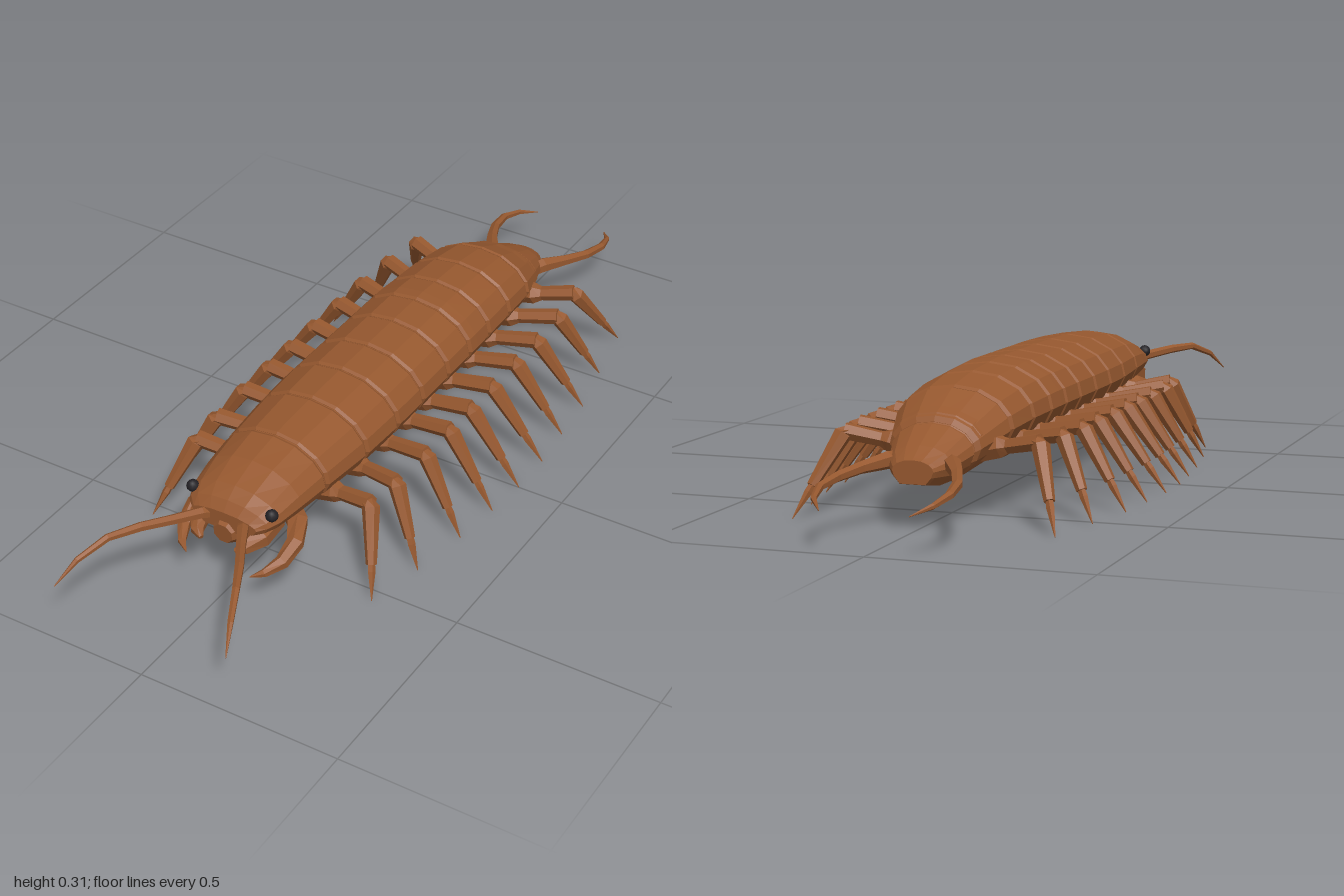
import * as THREE from 'three';

const shell = new THREE.MeshStandardMaterial({ color: 0x96582f });
shell.name = 'brown shell';
const eyeBlack = new THREE.MeshStandardMaterial({ color: 0x242226 });
eyeBlack.name = 'eye black';

// Faceted skin over rings of points (counter-clockwise seen from the far end), capped at both ends
function loft(rings) {
  const pos = [];
  const tri = (...pts) => pts.forEach(p => pos.push(p.x, p.y, p.z));
  const n = rings[0].length;
  const centre = r => r.reduce((s, p) => s.add(p), new THREE.Vector3()).divideScalar(n);
  const first = rings[0], last = rings[rings.length - 1];
  const c0 = centre(first), c1 = centre(last);
  for (let j = 0; j < n; j++) {
    const k = (j + 1) % n;
    for (let i = 0; i < rings.length - 1; i++) {
      const a = rings[i], b = rings[i + 1];
      tri(a[j], a[k], b[k]);
      tri(a[j], b[k], b[j]);
    }
    tri(c0, first[k], first[j]);
    tri(c1, last[j], last[k]);
  }
  const g = new THREE.BufferGeometry();
  g.setAttribute('position', new THREE.Float32BufferAttribute(pos, 3));
  g.computeVertexNormals();
  return g;
}

// Tapered limb through [x, y, z, radius] stations; side mirrors it in x
function limb(stations, side, ref, sides = 6) {
  const pts = stations.map(s => new THREE.Vector3(s[0] * side, s[1], s[2]));
  return loft(pts.map((p, i) => {
    const t = pts[Math.min(i + 1, pts.length - 1)].clone().sub(pts[Math.max(i - 1, 0)]).normalize();
    const u = new THREE.Vector3().crossVectors(ref, t).normalize();
    const v = new THREE.Vector3().crossVectors(t, u);
    return Array.from({ length: sides }, (_, j) => {
      const a = (j + 0.5) / sides * Math.PI * 2, r = stations[i][3];
      return p.clone().addScaledVector(u, Math.cos(a) * r).addScaledVector(v, Math.sin(a) * r);
    });
  }));
}

// Body outline stations: z, half width, top, widest height, bottom
const outline = [
  [-0.73, 0.05, 0.160, 0.135, 0.105], [-0.69, 0.075, 0.185, 0.14, 0.10], [-0.61, 0.10, 0.225, 0.16, 0.105],
  [-0.59, 0.115, 0.247, 0.175, 0.115], [-0.49, 0.14, 0.287, 0.195, 0.13], [-0.375, 0.15, 0.305, 0.205, 0.138],
  [-0.2, 0.157, 0.316, 0.21, 0.14], [0.18, 0.157, 0.315, 0.21, 0.14], [0.305, 0.152, 0.312, 0.21, 0.143],
  [0.455, 0.138, 0.304, 0.212, 0.148], [0.55, 0.128, 0.29, 0.212, 0.155], [0.62, 0.118, 0.266, 0.21, 0.165],
  [0.65, 0.105, 0.245, 0.208, 0.17], [0.668, 0.085, 0.222, 0.203, 0.175]];

function bodyAt(z) {
  let i = 0;
  while (i < outline.length - 2 && z > outline[i + 1][0]) i++;
  const a = outline[i], b = outline[i + 1];
  const t = THREE.MathUtils.clamp((z - a[0]) / (b[0] - a[0]), 0, 1);
  return a.map((v, k) => v + (b[k] - v) * t);
}

// Domed back over a narrower flat belly
const half = [[0.62, -1], [0.9, -0.45], [1, 0], [0.95, 0.32], [0.77, 0.65], [0.42, 0.92]];
const section = [...half, [0, 1], ...half.slice().reverse().map(([x, y]) => [-x, y])];
function bodyRing(z, scale = 1) {
  const [, w, top, mid, low] = bodyAt(z);
  return section.map(([x, y]) => new THREE.Vector3(
    x * w * scale, mid + y * scale * (y > 0 ? top - mid : mid - low), z));
}

export function createModel() {
  const model = new THREE.Group();
  const add = (name, geometry, material = shell) => {
    const m = new THREE.Mesh(geometry, material);
    m.name = name;
    model.add(m);
    return m;
  };
  const Y = new THREE.Vector3(0, 1, 0), Z = new THREE.Vector3(0, 0, 1);

  // Inner body closing the grooves between plates
  add('innerBody', loft(outline.slice(1, -1).map(o => bodyRing(o[0], 0.94))));

  // Back plates from tail to head, with pinched ends
  const joints = [-0.735, -0.61, -0.49, -0.375, -0.265, -0.165, -0.06, 0.06, 0.175, 0.305, 0.455, 0.668];
  for (let i = 0; i < joints.length - 1; i++) {
    const a = joints[i], b = joints[i + 1], head = i === joints.length - 2;
    const inner = outline.map(o => o[0]).filter(z => z > a + 0.02 && z < b - 0.015);
    const rings = [bodyRing(a + 0.002, 0.95), bodyRing(a + 0.01), ...inner.map(z => bodyRing(z))];
    if (head) rings.push(bodyRing(b));
    else rings.push(bodyRing(b - 0.008), bodyRing(b - 0.002, 0.95));
    add(head ? 'head' : i === 0 ? 'tailPlate' : 'backPlate' + i, loft(rings));
  }

  // Leg pairs: root z, knee x, knee z, tip x, tip z
  const legs = [
    [0.41, 0.235, 0.43, 0.30, 0.535], [0.30, 0.245, 0.335, 0.335, 0.39], [0.19, 0.25, 0.21, 0.36, 0.238],
    [0.09, 0.25, 0.10, 0.375, 0.112], [0, 0.25, 0, 0.385, 0], [-0.10, 0.25, -0.105, 0.385, -0.118],
    [-0.205, 0.25, -0.22, 0.375, -0.24], [-0.31, 0.25, -0.33, 0.365, -0.37],
    [-0.42, 0.245, -0.45, 0.335, -0.52], [-0.54, 0.23, -0.565, 0.305, -0.685]];

  for (const s of [1, -1]) {
    const side = s > 0 ? 'left' : 'right';
    legs.forEach(([rz, kx, kz, tx, tz], i) => {
      const at = (t, r) => [kx + (tx - kx) * t, 0.185 - 0.182 * t, kz + (tz - kz) * t, r];
      add(`${side}Thigh${i + 1}`, limb([[0.07, 0.15, rz, 0.026], [0.13, 0.165, rz, 0.027],
        [0.15, 0.168, rz + (kz - rz) * 0.2, 0.018], [kx, 0.185, kz, 0.02]], s, Z));
      add(`${side}Shin${i + 1}`, limb([[kx - 0.012, 0.187, kz, 0.014], at(0.04, 0.021), at(0.63, 0.0125)], s, Z));
      add(`${side}Claw${i + 1}`, limb([at(0.58, 0.008), at(0.7, 0.0095), at(1, 0.001)], s, Z, 5));
    });

    // Feelers on the head
    add(side + 'Antenna', limb([[0.03, 0.19, 0.63, 0.014], [0.055, 0.205, 0.675, 0.014], [0.09, 0.212, 0.735, 0.012],
      [0.13, 0.22, 0.8, 0.011], [0.168, 0.222, 0.87, 0.009], [0.2, 0.195, 0.94, 0.007],
      [0.224, 0.15, 0.996, 0.001]], s, Y));

    // Curved tail feelers
    add(side + 'TailFeeler', limb([[0.05, 0.145, -0.64, 0.018], [0.075, 0.148, -0.69, 0.02], [0.11, 0.14, -0.755, 0.014],
      [0.136, 0.13, -0.82, 0.012], [0.146, 0.12, -0.89, 0.01], [0.133, 0.107, -0.95, 0.007],
      [0.1, 0.092, -0.998, 0.001]], s, Y));

    // Hooked fang under the head
    add(side + 'Fang', limb([[0.06, 0.165, 0.5, 0.024], [0.11, 0.155, 0.54, 0.026], [0.135, 0.14, 0.59, 0.021],
      [0.132, 0.118, 0.64, 0.017], [0.11, 0.105, 0.68, 0.01], [0.085, 0.098, 0.7, 0.001]], s, Y));

    // Jaw
    add(side + 'Jaw', limb([[0.085, 0.18, 0.58, 0.02], [0.08, 0.172, 0.645, 0.026],
      [0.062, 0.16, 0.685, 0.016], [0.045, 0.153, 0.695, 0.006]], s, Y));

    // Eye
    const eye = add(side + 'Eye', new THREE.IcosahedronGeometry(0.015, 1), eyeBlack);
    eye.position.set(0.105 * s, 0.234, 0.634);
  }

  // Mouth block between the jaws
  add('mouth', limb([[0, 0.17, 0.56, 0.045], [0, 0.17, 0.65, 0.04], [0, 0.168, 0.675, 0.026]], 1, Y, 8));

  return model;
}
